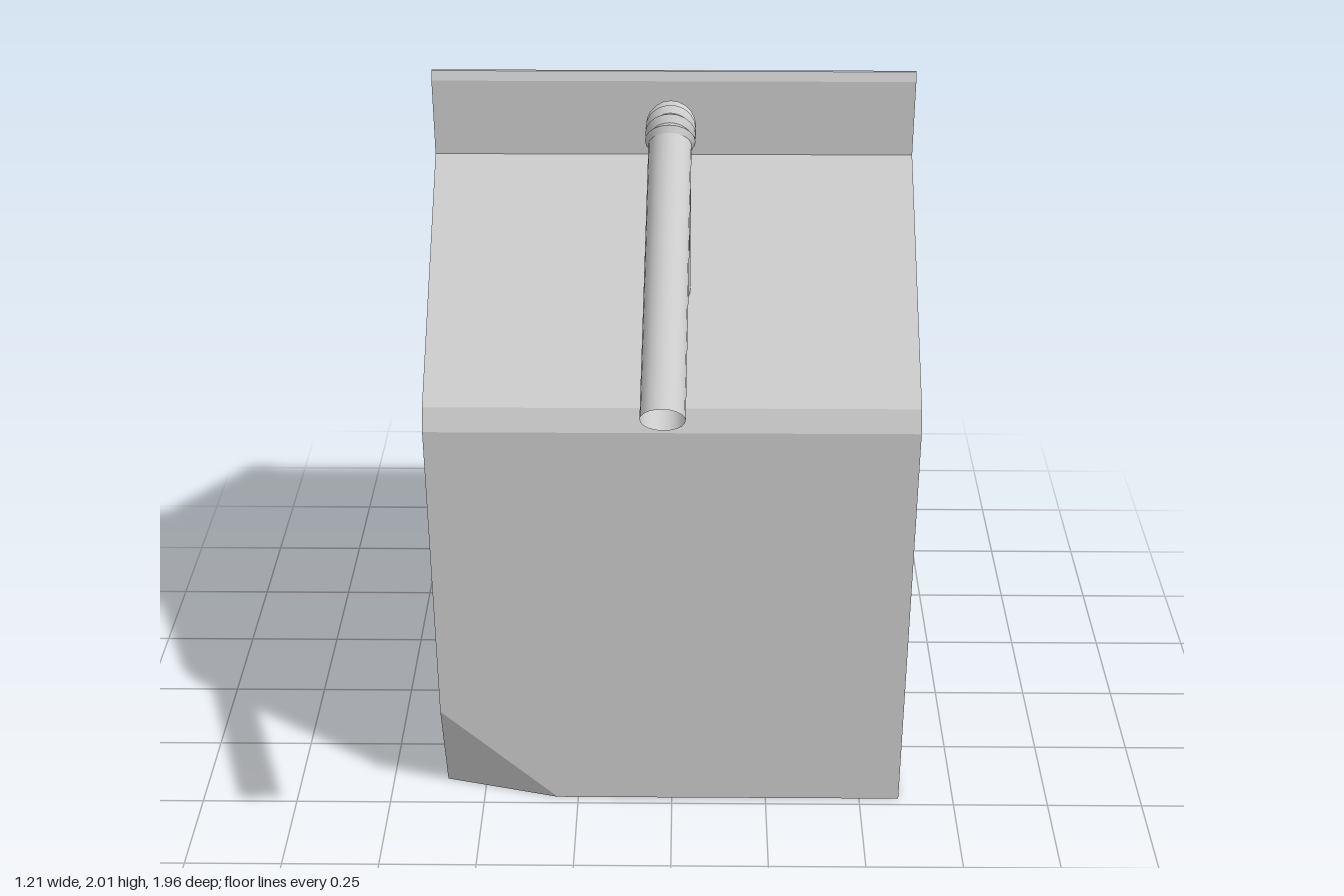
import * as THREE from 'three';
import { toCreasedNormals } from 'three/addons/utils/BufferGeometryUtils.js';

const W = 0.605; // half width of the carton
const flat = new THREE.MeshStandardMaterial({ color: 0xcccccc, flatShading: true, side: THREE.DoubleSide });
const smooth = new THREE.MeshStandardMaterial({ color: 0xcccccc, side: THREE.DoubleSide });

// Mesh from convex polygons, each a counterclockwise loop of [x, y, z] corners
function polygonMesh(name, polygons) {
  const pos = [];
  for (const p of polygons) {
    for (let i = 1; i < p.length - 1; i++) pos.push(...p[0], ...p[i], ...p[i + 1]);
  }
  const geo = new THREE.BufferGeometry();
  geo.setAttribute('position', new THREE.Float32BufferAttribute(pos, 3));
  geo.computeVertexNormals();
  const mesh = new THREE.Mesh(geo, flat);
  mesh.name = name;
  return mesh;
}

// Open tube whose radius follows radiusAt(t) along the curve
function straw(name, curve, segments, radiusAt) {
  const sides = 20;
  let geo = new THREE.TubeGeometry(curve, segments, 1, sides);
  const pos = geo.attributes.position;
  const v = new THREE.Vector3();
  for (let i = 0; i <= segments; i++) {
    const c = curve.getPointAt(i / segments);
    const r = radiusAt(i / segments, i);
    for (let j = 0; j <= sides; j++) {
      const k = i * (sides + 1) + j;
      v.fromBufferAttribute(pos, k).sub(c).multiplyScalar(r).add(c);
      pos.setXYZ(k, v.x, v.y, v.z);
    }
  }
  geo = toCreasedNormals(geo, 0.5);
  const mesh = new THREE.Mesh(geo, smooth);
  mesh.name = name;
  return mesh;
}

export function createModel() {
  const model = new THREE.Group();
  model.name = 'drinkCarton';

  // Carton outline from the front foot over the ridge to the back foot, as [y, z]
  const front0 = [0, 0.225], front1 = [1.12, 0.225], front2 = [1.175, 0.2];
  const ridge = [1.62, -0.36];
  const back2 = [1.19, -0.95], back1 = [1.12, -0.98], back0 = [0, -0.98];
  const at = (x, p) => [x, ...p];

  // Dented lower corner
  const dentTop = [-W, 0.28, 0.225], dentSide = [-W, 0, 0.15], dentFront = [-0.305, 0, 0.225];

  // Box: front, base, sides and dent
  model.add(polygonMesh('cartonBody', [
    [at(W, front0), at(W, front1), at(-W, front1), dentTop, dentFront],
    [dentTop, dentSide, dentFront],
    [at(W, front0), dentFront, dentSide, at(-W, back0), at(W, back0)],
    [front0, back0, back1, back2, front2, front1].map(p => at(W, p)),
    [...[front1, front2, back2, back1, back0].map(p => at(-W, p)), dentSide, dentTop],
    [at(W, back1), at(W, back0), at(-W, back0), at(-W, back1)],
  ]));

  // Bevelled shoulders and the two roof slopes
  const slopes = [front1, front2, ridge, back2, back1];
  model.add(polygonMesh('gableRoof', slopes.slice(1).map((q, i) => {
    const p = slopes[i];
    return [at(W, p), at(W, q), at(-W, q), at(-W, p)];
  })));

  // Tucked-in gable folds at both ends
  for (const s of [1, -1]) {
    const a = [s * 0.305, 1.46, -0.29], b = [s * 0.305, 1.475, -0.47];
    const apex = [s * 0.27, 1.61, -0.36];
    const f = at(s * W, front2), k = at(s * W, back2), r = at(s * W, ridge);
    const faces = [[f, k, b, a], [a, b, apex], [f, a, apex, r], [k, r, apex, b]];
    if (s < 0) faces.forEach(face => face.reverse());
    model.add(polygonMesh(s > 0 ? 'leftGableFold' : 'rightGableFold', faces));
  }

  // Upright sealed fin along the ridge
  const t = 0.013;
  const finShape = new THREE.Shape([
    [-t, 1.608], [t, 1.608], [t, 1.805], [0.004, 1.828], [-0.004, 1.828], [-t, 1.805],
  ].map(p => new THREE.Vector2(...p)));
  const finGeo = new THREE.ExtrudeGeometry(finShape, { depth: 2 * W, bevelEnabled: false });
  finGeo.translate(0, 0, -W).rotateY(Math.PI / 2).translate(0, 0, -0.36);
  const fin = new THREE.Mesh(finGeo, flat);
  fin.name = 'topFin';
  model.add(fin);

  // Bendy straw: lower tube, ribbed elbow, upper tube
  const P = (x, y, z) => new THREE.Vector3(x, y, z);
  const elbowStart = P(0, 1.885, 0.25), elbowEnd = P(-0.002, 1.935, 0.395);
  model.add(straw('lowerStraw', new THREE.LineCurve3(P(0, 1.31, -0.086), elbowStart), 1, () => 0.044));
  const elbow = new THREE.QuadraticBezierCurve3(elbowStart, P(0, 1.99, 0.313), elbowEnd);
  model.add(straw('strawElbow', elbow, 16, (u, i) => (i % 2 ? 0.055 : 0.045)));
  model.add(straw('upperStraw', new THREE.LineCurve3(elbowEnd, P(-0.012, 1.565, 0.955)), 1, () => 0.047));

  return model;
}
